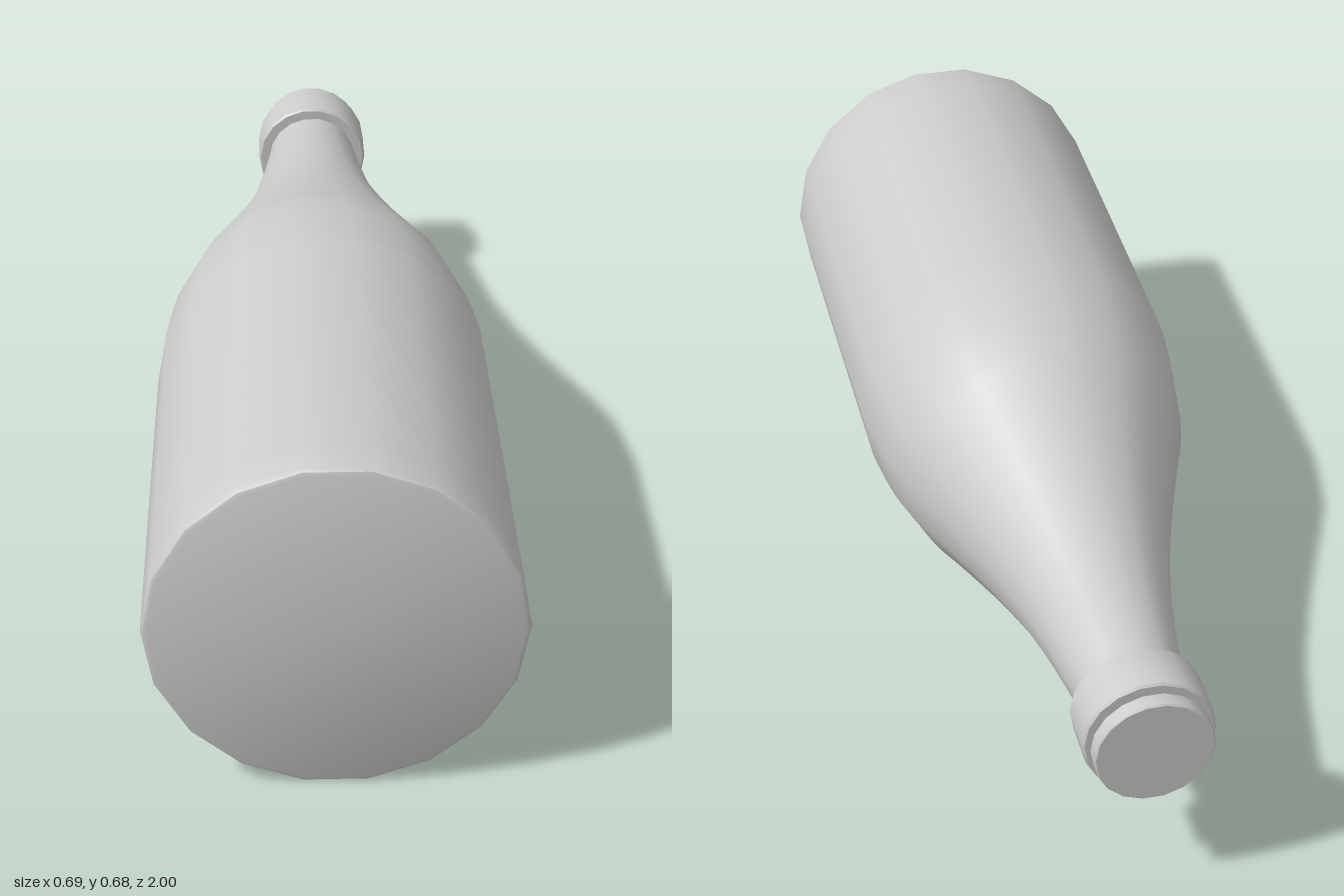
import * as THREE from 'three';
import { toCreasedNormals } from 'three/addons/utils/BufferGeometryUtils.js';

const SIDES = 18;
const AXIS_HEIGHT = 0.342;

// Turns a profile of [radius, distance towards the mouth] about the bottle's lying axis.
function turned(name, profile, material) {
  const points = profile.map(([r, h]) => new THREE.Vector2(r, h));
  const lathe = new THREE.LatheGeometry(points, SIDES, Math.PI / SIDES);
  const geometry = toCreasedNormals(lathe, 0.65);
  geometry.rotateX(-Math.PI / 2);
  const mesh = new THREE.Mesh(geometry, material);
  mesh.name = name;
  return mesh;
}

// Profile of a closed ring or disc with small bevelled edges.
function discProfile(inner, outer, from, to, bevel) {
  return [
    [inner, from], [outer - bevel, from], [outer, from + bevel],
    [outer, to - bevel], [outer - bevel, to], [inner, to],
  ];
}

export function createModel() {
  const bottle = new THREE.Group();
  bottle.name = 'bottle';
  const material = new THREE.MeshStandardMaterial({ color: 0xcccccc });

  // Body, shoulder and neck as one smooth curve
  const wall = new THREE.SplineCurve([
    [0.347, -0.988], [0.343, -0.6], [0.338, -0.2], [0.335, -0.13], [0.318, 0], [0.293, 0.1],
    [0.257, 0.2], [0.19, 0.4], [0.138, 0.6], [0.106, 0.8], [0.1, 0.86],
  ].map(([r, h]) => new THREE.Vector2(r, h)));
  const body = [
    [0, -1], [0.336, -1], [0.343, -0.997],
    ...wall.getPoints(40).map((p) => [p.x, p.y]),
    [0.1, 0.97],
  ];
  bottle.add(turned('body', body, material));

  // Collar around the neck and the closed lip at the mouth
  bottle.add(turned('collar', discProfile(0.09, 0.125, 0.855, 0.958, 0.004), material));
  bottle.add(turned('lip', discProfile(0, 0.113, 0.967, 1, 0.003), material));

  bottle.position.y = AXIS_HEIGHT;
  const model = new THREE.Group();
  model.add(bottle);
  return model;
}
